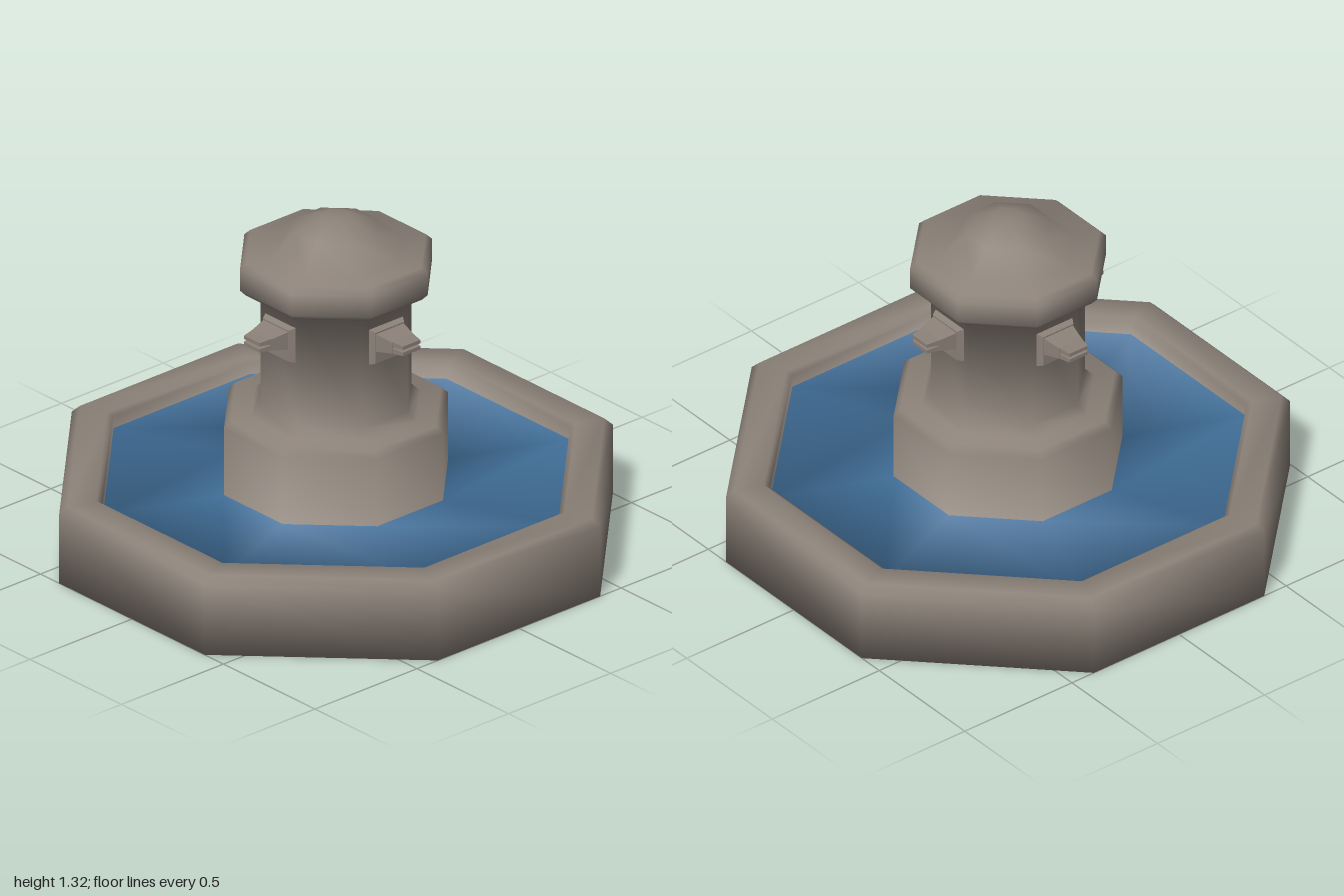
import * as THREE from 'three';

const stone = new THREE.MeshStandardMaterial({ color: 0x8b8178 });
stone.name = 'stone';
const water = new THREE.MeshStandardMaterial({ color: 0x416f99 });
water.name = 'water';

// Eight-sided body from a profile of [distance to flat side, y], softly shaded all over
function octagonBody(profile) {
  const sides = 8, start = Math.PI / 8, n = profile.length;
  const points = profile.map(([a, y]) => new THREE.Vector2(a / Math.cos(start), y));
  const g = new THREE.LatheGeometry(points, sides, start);
  const pos = g.attributes.position, nor = g.attributes.normal;
  // unit normal of each profile segment
  const seg = [];
  for (let j = 0; j < n - 1; j++) {
    const dx = profile[j + 1][0] - profile[j][0], dy = profile[j + 1][1] - profile[j][1];
    seg.push(new THREE.Vector2(dy, -dx).normalize());
  }
  for (let k = 0; k < pos.count; k++) {
    const j = k % n, phi = start + (Math.floor(k / n) / sides) * Math.PI * 2;
    // equal blend of the two neighbouring segments
    const m = seg[Math.max(j - 1, 0)].clone().add(seg[Math.min(j, n - 2)]).normalize();
    nor.setXYZ(k, m.x * Math.sin(phi), m.y, m.x * Math.cos(phi));
    // slightly shorter straight sides, wider corner sides
    const x = pos.getX(k), z = pos.getZ(k);
    if (Math.abs(x) < Math.abs(z)) pos.setX(k, x * 0.96);
    else pos.setZ(k, z * 0.96);
  }
  return g;
}

// Box along z that tapers from [w0, h0] at z0 to [w1, h1] at z1
function taper(name, w0, h0, w1, h1, z0, z1, y) {
  const g = new THREE.BoxGeometry(1, 1, 1);
  const p = g.attributes.position;
  for (let i = 0; i < p.count; i++) {
    const front = p.getZ(i) > 0;
    p.setXYZ(i, p.getX(i) * (front ? w1 : w0), y + p.getY(i) * (front ? h1 : h0), front ? z1 : z0);
  }
  g.computeVertexNormals();
  const mesh = new THREE.Mesh(g, stone);
  mesh.name = name;
  return mesh;
}

export function createModel() {
  const model = new THREE.Group();
  model.name = 'fountain';

  // Basin, water and pillar in one profile
  const profile = [
    [0, 0], [1, 0], [1, 0.28], [0.97, 0.31], [0.865, 0.31], [0.845, 0.295], [0.842, 0.25],
    [0.405, 0.25], [0.405, 0.52], [0.38, 0.545], [0.305, 0.545], [0.272, 0.58], [0.272, 1.046],
    [0.325, 1.046], [0.347, 1.07], [0.347, 1.155], [0.325, 1.177],
    [0.24, 1.18], [0.15, 1.27], [0.05, 1.315], [0, 1.315],
  ];
  const body = octagonBody(profile);
  const waterSegment = 6, perSide = body.index.count / 8;
  for (let i = 0; i < 8; i++) {
    const s = i * perSide, w = s + waterSegment * 6;
    body.addGroup(s, waterSegment * 6, 0);
    body.addGroup(w, 6, 1);
    body.addGroup(w + 6, s + perSide - w - 6, 0);
  }
  const bodyMesh = new THREE.Mesh(body, [stone, water]);
  bodyMesh.name = 'basinWaterAndPillar';
  model.add(bodyMesh);

  // Four spouts around the pillar
  for (let i = 0; i < 4; i++) {
    const spout = new THREE.Group();
    spout.name = 'spout';
    spout.add(
      taper('spoutPlate', 0.18, 0.15, 0.14, 0.125, 0.26, 0.295, 0.903),
      taper('spoutNeck', 0.14, 0.075, 0.105, 0.045, 0.285, 0.365, 0.924),
      taper('upperLip', 0.105, 0.022, 0.085, 0.014, 0.36, 0.413, 0.937),
      taper('lowerLip', 0.105, 0.022, 0.085, 0.014, 0.36, 0.413, 0.912),
    );
    spout.rotation.y = (i * Math.PI) / 2;
    model.add(spout);
  }
  return model;
}
